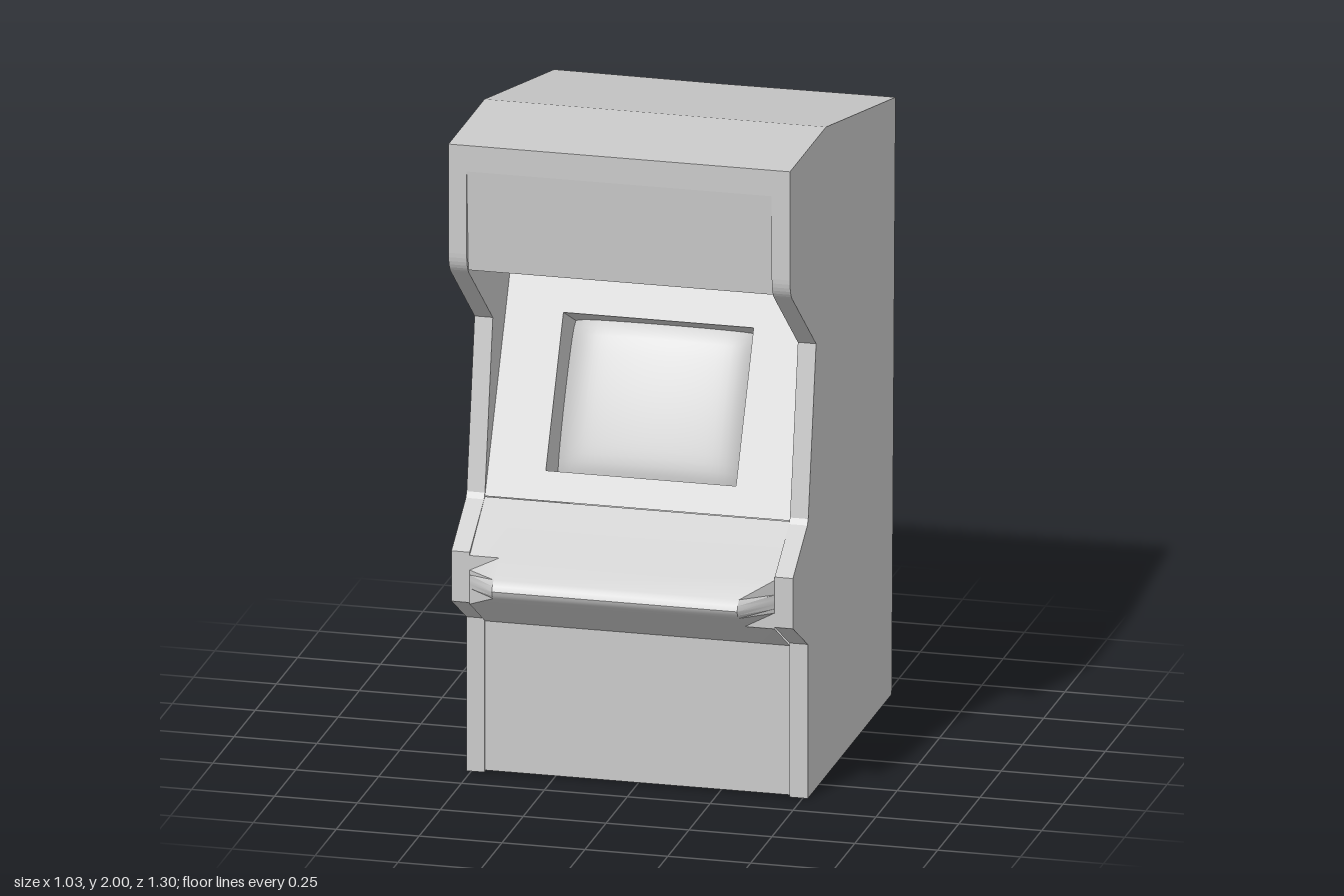
import * as THREE from 'three';
import { toCreasedNormals } from 'three/addons/utils/BufferGeometryUtils.js';

const HALF = 0.515, INNER = 0.46;
const mat = new THREE.MeshStandardMaterial({ color: 0xcccccc });
const sheetMat = new THREE.MeshStandardMaterial({ color: 0xcccccc, side: THREE.DoubleSide });

function add(parent, name, geometry, material = sheetMat) {
  const mesh = new THREE.Mesh(geometry, material);
  mesh.name = name;
  parent.add(mesh);
  return mesh;
}

// Sheet spanning the cabinet: profile of [z, y] points swept over the columns xs.
function sheet(profile, xs = [-INNER, INNER], bend = (x, z) => z, crease = 0.6) {
  const pos = [], index = [];
  for (const [z, y] of profile) for (const x of xs) pos.push(x, y, bend(x, z));
  const n = xs.length;
  for (let i = 0; i < profile.length - 1; i++) {
    for (let j = 0; j < n - 1; j++) {
      const a = i * n + j, b = a + 1, c = a + n, d = c + 1;
      index.push(a, b, d, a, d, c);
    }
  }
  const g = new THREE.BufferGeometry();
  g.setAttribute('position', new THREE.Float32BufferAttribute(pos, 3));
  g.setIndex(index);
  return toCreasedNormals(g, crease);
}

// Side silhouette, drawn with z as the horizontal axis.
function sideShape() {
  const s = new THREE.Shape();
  s.moveTo(0.385, 0);
  s.lineTo(0.385, 0.475);
  s.lineTo(0.56, 0.58);
  s.lineTo(0.56, 0.735);
  s.lineTo(0.39, 0.843);
  s.lineTo(0.38, 0.86);
  s.lineTo(0.287, 1.37);
  s.lineTo(0.57, 1.6);
  s.quadraticCurveTo(0.595, 1.622, 0.595, 1.665);
  s.lineTo(0.595, 2);
  s.lineTo(0.17, 2);
  s.lineTo(-0.65, 1.825);
  s.lineTo(-0.605, 0);
  s.closePath();
  return s;
}

function rectangle(Type, x, y0, y1) {
  const p = new Type();
  p.moveTo(-x, y0);
  p.lineTo(x, y0);
  p.lineTo(x, y1);
  p.lineTo(-x, y1);
  p.closePath();
  return p;
}

export function createModel() {
  const cabinet = new THREE.Group();
  cabinet.name = 'arcadeCabinet';

  // Thick side panels
  for (const side of [-1, 1]) {
    const g = new THREE.ExtrudeGeometry(sideShape(), {
      depth: HALF - INNER, bevelEnabled: false, curveSegments: 6,
    });
    g.rotateY(-Math.PI / 2);
    g.translate(side > 0 ? HALF : -INNER, 0, 0);
    add(cabinet, side > 0 ? 'leftSidePanel' : 'rightSidePanel', g, mat);
  }

  // Lower front, sign with its underside, roof and slightly dished back
  add(cabinet, 'lowerFrontPanel', sheet([[0.38, 0.005], [0.38, 0.465]]));
  add(cabinet, 'signPanel', sheet([[0.575, 1.61], [0.595, 1.92], [0.595, 2]], undefined, undefined, 0.01));
  add(cabinet, 'signUnderside', sheet([[0.08, 1.455], [0.575, 1.61]]));
  add(cabinet, 'roof', sheet([[0.595, 2], [0.17, 2], [-0.65, 1.825]], [-INNER, 0, INNER],
    (x, z) => z < 0 && x === 0 ? z + 0.006 : z, 0.1));
  add(cabinet, 'backPanel', sheet([[-0.65, 1.825], [-0.605, 0.01]], [-INNER, 0, INNER],
    (x, z) => x === 0 ? z + 0.006 : z, 0.01));

  // Control desk with a rounded nose and chamfered ends
  const desk = [[0.38, 0.465], [0.56, 0.575], [0.635, 0.624], [0.648, 0.637],
    [0.652, 0.65], [0.645, 0.665], [0.63, 0.68], [0.56, 0.725], [0.38, 0.848]];
  add(cabinet, 'controlDesk', sheet(desk, [-INNER, -0.37, 0.37, INNER],
    (x, z) => Math.abs(x) > 0.4 ? Math.min(z, 0.56) : z, 0.5));

  // Leaning screen frame with its opening
  const rise = 0.605, run = 0.3, length = Math.hypot(rise, run);
  const holeX = 0.287, low = 0.089, high = 0.558;
  const display = new THREE.Group();
  display.name = 'display';
  display.position.set(0, 0.85, 0.38);
  display.rotation.x = -Math.atan2(run, rise);
  cabinet.add(display);
  const frame = rectangle(THREE.Shape, INNER, 0, length);
  frame.holes.push(rectangle(THREE.Path, holeX, low, high));
  add(display, 'screenFrame', new THREE.ShapeGeometry(frame));

  // Walls running back from the opening
  const rim = rectangle(THREE.Shape, holeX + 0.008, low - 0.008, high + 0.008);
  rim.holes.push(rectangle(THREE.Path, holeX, low, high));
  const walls = new THREE.ExtrudeGeometry(rim, { depth: 0.17, bevelEnabled: false });
  walls.translate(0, 0, -0.172);
  add(display, 'screenSurround', walls, mat);

  // Bulging picture tube
  const tube = new THREE.PlaneGeometry(holeX * 2, high - low, 28, 20);
  const p = tube.attributes.position;
  for (let i = 0; i < p.count; i++) {
    const u = Math.abs(p.getX(i) / holeX), v = Math.abs(p.getY(i) / ((high - low) / 2));
    p.setZ(i, -0.07 - 0.025 * u * u - 0.015 * v * v - 0.04 * u ** 10 - 0.015 * v ** 10);
  }
  tube.translate(0, (low + high) / 2, 0);
  tube.computeVertexNormals();
  add(display, 'screen', tube);

  return cabinet;
}
